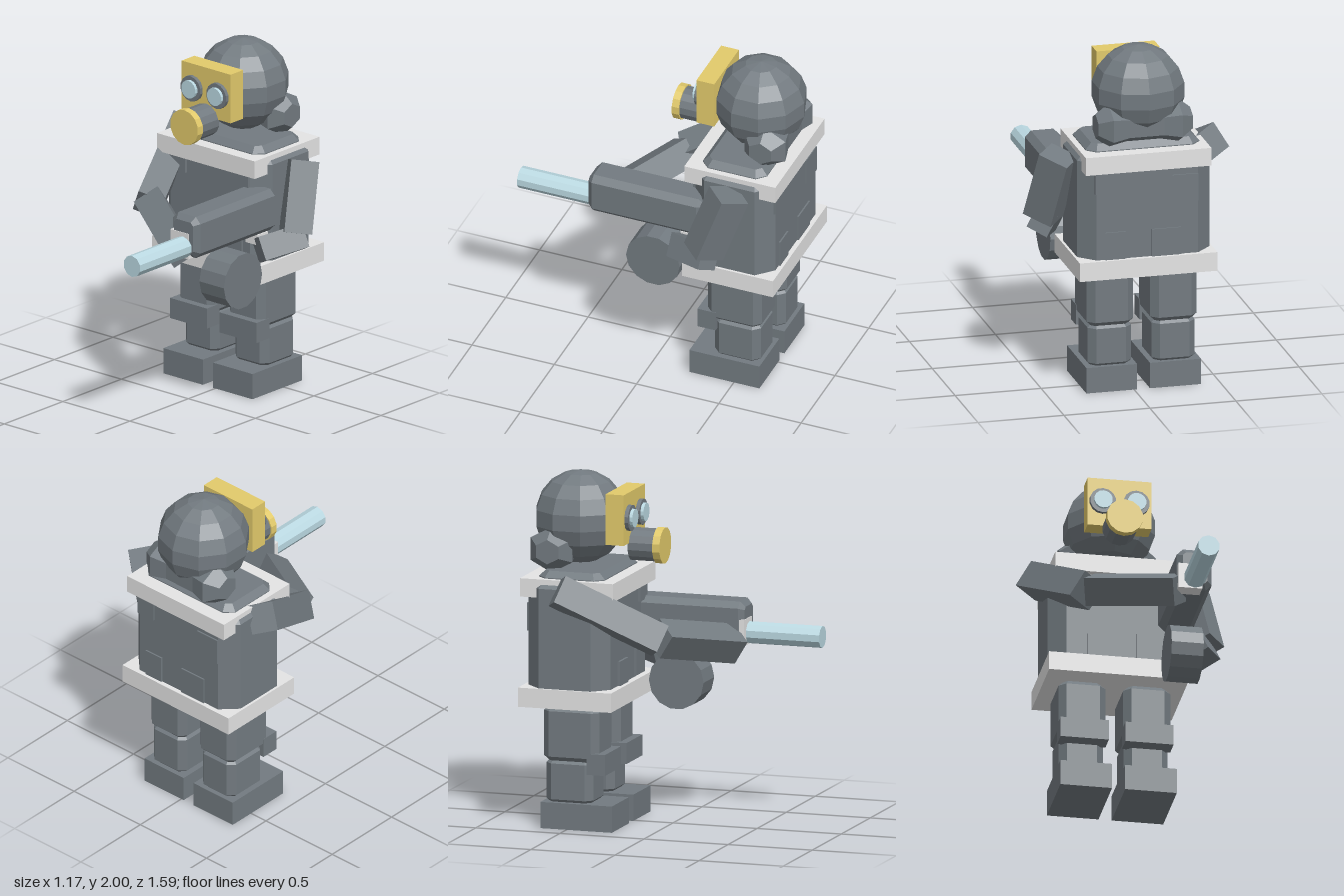
import * as THREE from 'three';

const mat = (name, color) => Object.assign(new THREE.MeshStandardMaterial({ color }), { name });

// Faceted copy of a geometry
function facet(g) {
  const f = g.index ? g.toNonIndexed() : g;
  f.computeVertexNormals();
  return f;
}

// Box with cut vertical corners (c) and bevelled ends (b); long axis is y
function chamferBox(w, h, d, c, b) {
  const x = w / 2, z = d / 2;
  const s = new THREE.Shape([
    [x, -z + c], [x, z - c], [x - c, z], [-x + c, z],
    [-x, z - c], [-x, -z + c], [-x + c, -z], [x - c, -z],
  ].map(([a, q]) => new THREE.Vector2(a, q)));
  const g = new THREE.ExtrudeGeometry(s, {
    depth: h - 2 * b, bevelEnabled: true, bevelSize: b, bevelThickness: b, bevelOffset: -b, bevelSegments: 1,
  });
  g.translate(0, 0, -(h - 2 * b) / 2);
  g.rotateX(-Math.PI / 2);
  return facet(g);
}

export function createModel() {
  const model = new THREE.Group();
  const dark = mat('dark grey', 0x727a80);
  const light = mat('light grey', 0xe4e4e4);
  const brass = mat('brass yellow', 0xe2ca6b);
  const glass = mat('pale blue', 0xbbd9e2);
  const CX = -0.055;

  function add(name, geo, m, x = 0, y = 0, z = 0) {
    const mesh = new THREE.Mesh(geo, m);
    mesh.name = name;
    mesh.position.set(x, y, z);
    model.add(mesh);
    return mesh;
  }
  // Box from its limits on each axis
  function box(name, m, [x0, x1], [y0, y1], [z0, z1], c = 0, b = 0) {
    const s = [x1 - x0, y1 - y0, z1 - z0];
    const g = c ? chamferBox(...s, c, b) : new THREE.BoxGeometry(...s);
    return add(name, g, m, (x0 + x1) / 2, (y0 + y1) / 2, (z0 + z1) / 2);
  }
  // Cylinder along z
  function rod(name, m, r, sides, x, y, z0, z1) {
    const g = facet(new THREE.CylinderGeometry(r, r, z1 - z0, sides));
    g.rotateX(Math.PI / 2);
    return add(name, g, m, x, y, (z0 + z1) / 2);
  }
  // Square-edged limb segment between two points
  function limb(name, a, b, w, d) {
    const p = new THREE.Vector3(...a), q = new THREE.Vector3(...b);
    const mid = p.clone().add(q).multiplyScalar(0.5);
    const mesh = add(name, new THREE.BoxGeometry(w, p.distanceTo(q), d), dark, mid.x, mid.y, mid.z);
    mesh.quaternion.setFromUnitVectors(new THREE.Vector3(0, 1, 0), q.sub(p).normalize());
  }

  // Legs
  for (const [side, s] of [['right', -1], ['left', 1]]) {
    const x = CX + s * 0.185;
    const span = (w) => [x - w / 2, x + w / 2];
    box(side + 'Shoe', dark, span(0.295), [0, 0.15], [-0.655, -0.23]);
    box(side + 'Shin', dark, span(0.252), [0.15, 0.385], [-0.64, -0.36], 0.04, 0.015);
    box(side + 'Thigh', dark, span(0.27), [0.38, 0.7], [-0.65, -0.32], 0.04, 0.03);
    box(side + 'KneePad', dark, span(0.275), [0.32, 0.44], [-0.385, -0.275]);
  }

  // Torso with belt and shoulder trim
  box('torso', dark, [-0.44, 0.33], [0.74, 1.4], [-0.737, -0.25], 0.09, 0.02);
  box('upperChest', dark, [-0.385, 0.275], [1.36, 1.47], [-0.68, -0.29], 0.05, 0.035);
  box('belt', light, [-0.455, 0.345], [0.7, 0.81], [-0.765, -0.212]);
  box('shoulderTrim', light, [-0.42, 0.31], [1.325, 1.43], [-0.765, -0.212]);

  // Pockets on the front and back
  for (const [x0, x1, y0, y1] of [[0.07, 0.19, 0.8, 0.97], [-0.25, -0.08, 0.8, 0.97], [0.13, 0.25, 1.2, 1.33], [-0.35, -0.2, 1.12, 1.28]])
    box('backPocket', dark, [x0, x1], [y0, y1], [-0.746, -0.73]);
  for (const [x0, x1, y0, y1] of [[0.05, 0.19, 0.82, 0.97], [-0.23, -0.09, 0.8, 0.95], [0.12, 0.24, 1.23, 1.33], [-0.35, -0.23, 1.23, 1.33]])
    box('frontPocket', dark, [x0, x1], [y0, y1], [-0.255, -0.235]);

  // Head
  const head = add('head', facet(new THREE.SphereGeometry(0.265, 10, 9)), dark, CX, 1.735, -0.53);
  head.rotation.y = Math.PI / 2;

  // Rolled hood behind the neck: six-sided sections lofted along x
  const rings = [[-0.275, 0.07], [-0.2, 0.13], [-0.1, 0.105], [0.1, 0.105], [0.2, 0.13], [0.275, 0.07]];
  const pos = [], idx = [], N = 6;
  rings.forEach(([x, r], i) => {
    for (let k = 0; k < N; k++) {
      const a = (k / N) * Math.PI * 2 + Math.PI / 2;
      pos.push(x, r * Math.sin(a), 1.1 * r * Math.cos(a));
      if (i < rings.length - 1) {
        const p = i * N + k, q = i * N + (k + 1) % N;
        idx.push(p, p + N, q, q, p + N, q + N);
      }
    }
  });
  const last = (rings.length - 1) * N;
  for (let k = 1; k < N - 1; k++) idx.push(0, k, k + 1, last, last + k + 1, last + k);
  const hood = new THREE.BufferGeometry();
  hood.setAttribute('position', new THREE.Float32BufferAttribute(pos, 3));
  hood.setIndex(idx);
  add('hoodRoll', facet(hood), dark, CX, 1.57, -0.635);

  // Gas mask with eyepieces and filter
  box('maskPlate', brass, [-0.235, 0.13], [1.615, 1.905], [-0.32, -0.212]);
  for (const s of [-1, 1]) {
    rod('eyeRim', dark, 0.075, 14, CX + s * 0.096, 1.762, -0.22, -0.19);
    rod('eyeLens', glass, 0.053, 14, CX + s * 0.096, 1.762, -0.2, -0.172);
  }
  rod('filterTube', dark, 0.095, 14, CX, 1.597, -0.22, -0.07);
  rod('filterCap', brass, 0.104, 14, CX, 1.597, -0.07, -0.027);

  // Arms
  limb('rightUpperArm', [-0.49, 1.385, -0.52], [-0.28, 1.095, 0.02], 0.155, 0.165);
  limb('rightForearm', [-0.26, 1.105, 0.01], [0.195, 1.01, 0.3], 0.16, 0.16);
  limb('leftUpperArm', [0.4, 1.375, -0.52], [0.46, 0.99, -0.39], 0.16, 0.18);
  limb('leftForearm', [0.475, 0.965, -0.43], [0.36, 0.92, -0.19], 0.13, 0.14);

  // Gun body along z, gripping hands, barrel and drum
  const gun = add('gunBody', chamferBox(0.2, 0.695, 0.245, 0.035, 0.03), dark, 0.275, 1.127, 0.008);
  gun.rotation.x = Math.PI / 2;
  box('rightHand', light, [0.18, 0.315], [1.0, 1.15], [0.27, 0.36]);
  box('leftHand', light, [0.25, 0.34], [0.94, 1.0], [-0.29, -0.2]);
  rod('barrel', glass, 0.063, 10, 0.273, 1.065, 0.34, 0.795);
  const drum = add('drum', facet(new THREE.CylinderGeometry(0.163, 0.163, 0.183, 14)), dark, 0.277, 0.775, -0.045);
  drum.rotation.z = Math.PI / 2;

  return model;
}
